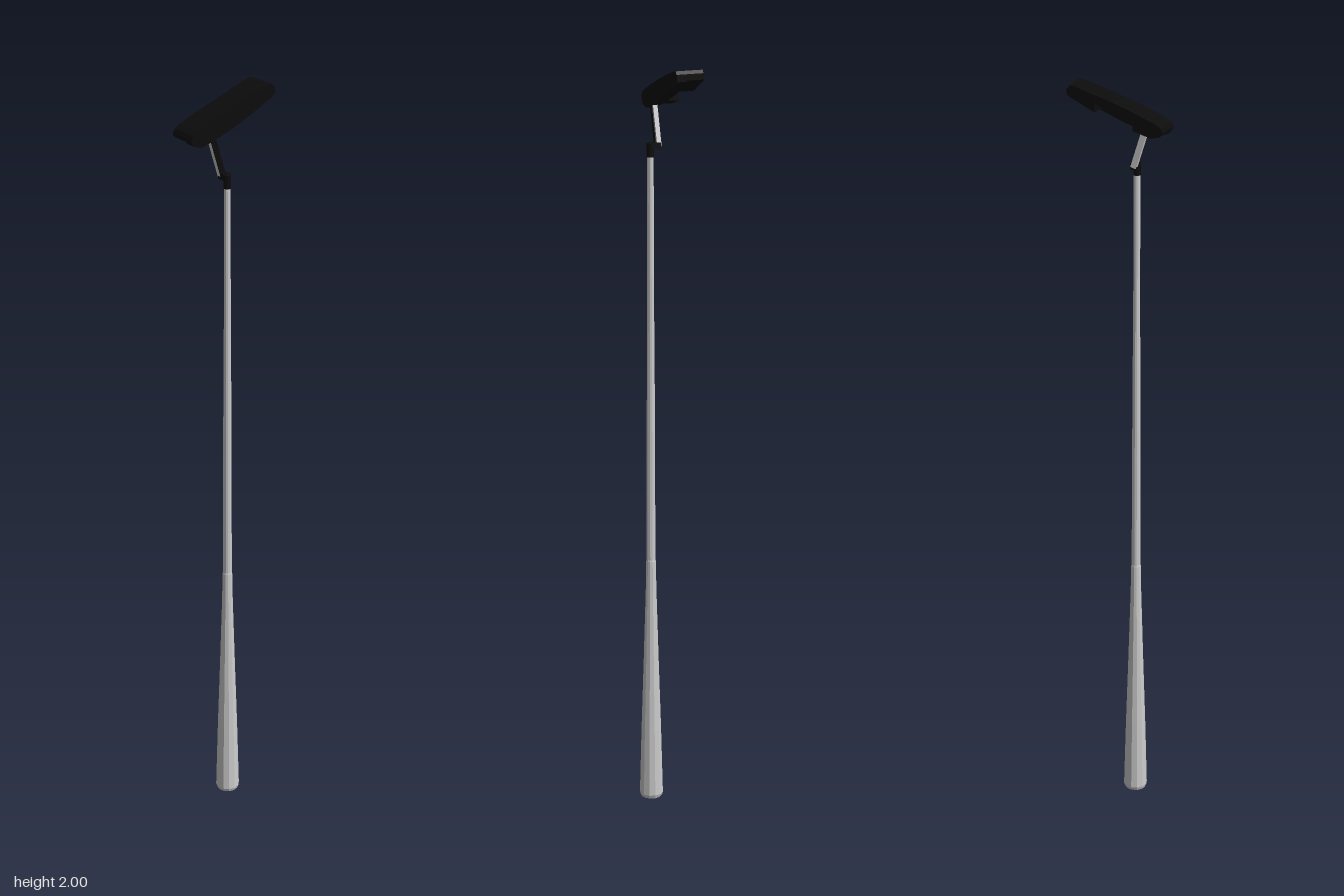
import * as THREE from 'three';

const grey = new THREE.MeshStandardMaterial({ color: 0xcccccc, flatShading: true });
const black = new THREE.MeshStandardMaterial({ color: 0x0c0c0c, flatShading: true });

const SHAFT_X = -0.03, SHAFT_Z = 0.026;

// Curved outlines of the head: sole (upper) and topline (lower), as [x, y]
const SOLE = [[-0.131, 1.905], [-0.125, 1.916], [-0.11, 1.925], [-0.06, 1.945], [0, 1.966],
  [0.06, 1.985], [0.11, 1.999], [0.121, 2], [0.127, 1.992]];
const TOPLINE = [[-0.131, 1.899], [-0.122, 1.888], [-0.1, 1.88], [-0.05, 1.894], [0, 1.911],
  [0.06, 1.936], [0.12, 1.964], [0.13, 1.974]];

function heightAt(line, x) {
  if (x <= line[0][0]) return line[0][1];
  for (let i = 1; i < line.length; i++) {
    const [x0, y0] = line[i - 1], [x1, y1] = line[i];
    if (x <= x1) return y0 + (y1 - y0) * (x - x0) / (x1 - x0);
  }
  return line[line.length - 1][1];
}

// Slab of the head between two x and two z limits; depth 1 reaches the topline
function headSlab(name, x0, x1, z0, z1, depth) {
  const xs = [x0, ...SOLE.concat(TOPLINE).map(p => p[0]).filter(x => x > x0 && x < x1), x1];
  const stations = [...new Set(xs)].sort((a, b) => a - b);
  const upper = stations.map(x => new THREE.Vector2(x, heightAt(SOLE, x)));
  const lower = stations.map(x => {
    const top = heightAt(SOLE, x);
    return new THREE.Vector2(x, top + (heightAt(TOPLINE, x) - top) * depth);
  });
  const shape = new THREE.Shape(lower.concat(upper.reverse()));
  const geo = new THREE.ExtrudeGeometry(shape, { depth: z1 - z0, bevelEnabled: false });
  geo.translate(0, 0, z0);
  // The toe end leans in towards the back
  const pos = geo.attributes.position;
  for (let i = 0; i < pos.count; i++) {
    if (pos.getX(i) > 0.1) pos.setX(i, pos.getX(i) + (pos.getZ(i) - 0.014) * 0.1);
  }
  geo.computeVertexNormals();
  const mesh = new THREE.Mesh(geo, black);
  mesh.name = name;
  return mesh;
}

function lathe(name, points, material, sides) {
  const geo = new THREE.LatheGeometry(points.map(p => new THREE.Vector2(...p)), sides);
  const mesh = new THREE.Mesh(geo, material);
  mesh.name = name;
  mesh.position.set(SHAFT_X, 0, SHAFT_Z);
  return mesh;
}

function box(name, size, position, material) {
  const mesh = new THREE.Mesh(new THREE.BoxGeometry(...size), material);
  mesh.name = name;
  mesh.position.set(...position);
  return mesh;
}

export function createModel() {
  const group = new THREE.Group();
  group.name = 'putter';

  // Tapered grip standing on its butt, and the slim shaft
  group.add(lathe('grip', [[0, 0], [0.028, 0], [0.032, 0.01], [0.027, 0.2], [0.0205, 0.4],
    [0.0145, 0.6], [0.013, 0.68], [0.011, 0.69]], grey, 12));
  group.add(lathe('shaft', [[0.012, 0.68], [0.0105, 1.2], [0.009, 1.4], [0.0085, 1.78]], grey, 12));

  // Black collar and the elbow stepping back to the neck
  group.add(lathe('collar', [[0, 1.765], [0.0095, 1.765], [0.0095, 1.8], [0, 1.803]], black, 12));
  group.add(box('elbow', [0.017, 0.017, 0.028], [SHAFT_X, 1.793, 0.014], black));

  // Leaning neck with a dark front strip
  const neck = new THREE.Group();
  neck.name = 'neck';
  const from = new THREE.Vector3(SHAFT_X, 1.79, 0.005);
  const to = new THREE.Vector3(-0.066, 1.905, 0.005);
  const length = from.distanceTo(to);
  neck.position.copy(from).lerp(to, 0.5);
  neck.rotation.z = Math.atan2(from.x - to.x, to.y - from.y);
  neck.add(box('neckBar', [0.015, length, 0.012], [0, 0, -0.001], grey));
  neck.add(box('neckFront', [0.015, length, 0.003], [0, 0, 0.0065], black));
  group.add(neck);

  // Head: full-height face blade, thin sole flange and the two end weights
  const head = new THREE.Group();
  head.name = 'head';
  head.add(headSlab('faceBlade', -0.131, 0.13, -0.012, 0.014, 1));
  head.add(headSlab('soleFlange', -0.129, 0.129, -0.058, -0.012, 0.45));
  head.add(headSlab('heelWeight', -0.13, -0.052, -0.06, -0.012, 0.85));
  head.add(headSlab('toeWeight', 0.048, 0.13, -0.06, -0.012, 0.85));
  group.add(head);

  return group;
}
